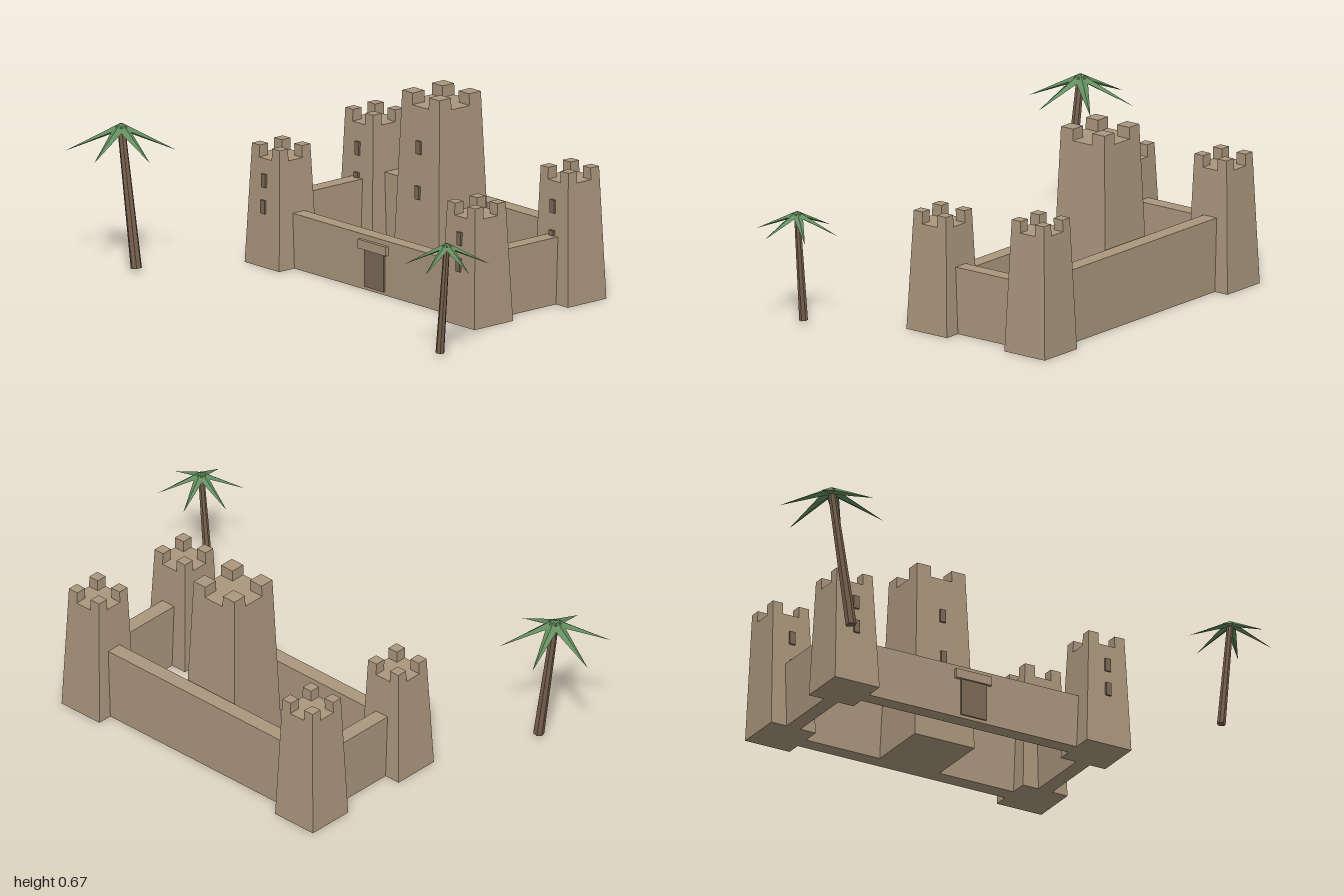
import * as THREE from 'three';

const flat = (color, name) => {
  const m = new THREE.MeshStandardMaterial({ color, flatShading: true });
  m.name = name;
  return m;
};

export function createModel() {
  const sand = flat(0xab977d, 'sandstone');
  const wood = flat(0x7c6a56, 'dark wood');
  const bark = flat(0x78614f, 'palm bark');
  const leaf = flat(0x648e60, 'palm green');
  const model = new THREE.Group();
  model.name = 'desertFort';

  const add = (parent, name, geo, mat) => {
    const mesh = new THREE.Mesh(geo, mat);
    mesh.name = name;
    parent.add(mesh);
    return mesh;
  };
  // Box given by its min and max corners
  const block = (x0, x1, y0, y1, z0, z1) =>
    new THREE.BoxGeometry(x1 - x0, y1 - y0, z1 - z0)
      .translate((x0 + x1) / 2, (y0 + y1) / 2, (z0 + z1) / 2);

  // Square tower with leaning walls, four corner merlons and front windows
  function tower(name, x, z, base, top, height, merlonTop, merlonSize, windows) {
    const g = new THREE.Group();
    g.name = name;
    g.position.set(x, 0, z);
    const half = (y) => base + (top - base) * y / merlonTop;
    // Pull a unit-wide block in toward the axis as it rises
    const lean = (geo) => {
      const p = geo.attributes.position;
      for (let i = 0; i < p.count; i++) {
        const h = half(p.getY(i));
        p.setXYZ(i, p.getX(i) * h, p.getY(i), p.getZ(i) * h);
      }
      geo.computeVertexNormals();
      return geo;
    };
    add(g, 'towerBody', lean(block(-1, 1, 0, height, -1, 1)), sand);
    const inner = 1 - merlonSize / top;
    for (const sx of [-1, 1]) for (const sz of [-1, 1]) {
      const c = (1 + inner) / 2, s = (1 - inner) / 2;
      add(g, 'merlon', lean(block(sx * c - s, sx * c + s, height, merlonTop, sz * c - s, sz * c + s)), sand);
    }
    for (const y of windows) {
      const w = half(y);
      add(g, 'window', block(-0.011, 0.011, y - 0.024, y + 0.024, w - 0.001, w + 0.008), wood);
    }
    model.add(g);
  }

  for (const [side, x] of [['right', -0.478], ['left', 0.541]]) {
    tower(side + 'FrontTower', x, -0.059, 0.09, 0.072, 0.388, 0.431, 0.04, [0.31, 0.216]);
    tower(side + 'BackTower', x, -0.496, 0.09, 0.072, 0.437, 0.479, 0.04, [0.347, 0.237]);
    add(model, side + 'Wall', block(x - 0.028, x + 0.028, 0, 0.242, -0.45, -0.1), sand);
  }
  tower('keep', 0.031, -0.353, 0.121, 0.097, 0.63, 0.672, 0.055, [0.485, 0.323]);

  // Front and back walls
  add(model, 'frontWall', block(-0.45, 0.51, 0, 0.198, -0.095, -0.04), sand);
  add(model, 'backWall', block(-0.45, 0.51, 0, 0.267, -0.53, -0.472), sand);

  // Gate
  add(model, 'gateDoor', block(-0.019, 0.084, 0.012, 0.147, -0.042, -0.034), wood);
  add(model, 'gateLintel', block(-0.043, 0.102, 0.147, 0.18, -0.05, -0.027), sand);

  // Leaning palm with six drooping pointed fronds
  function palm(name, baseX, topX, topY, z, s) {
    const g = new THREE.Group();
    g.name = name;
    const from = new THREE.Vector3(baseX, 0.014, z);
    const to = new THREE.Vector3(topX, topY, z);
    const dir = to.clone().sub(from);
    const trunk = add(g, 'trunk', new THREE.CylinderGeometry(0.014 * s, 0.02 * s, dir.length(), 7), bark);
    trunk.position.copy(from).add(to).multiplyScalar(0.5);
    trunk.quaternion.setFromUnitVectors(new THREE.Vector3(0, 1, 0), dir.normalize());
    const length = 0.212 * s;
    for (let i = 0; i < 6; i++) {
      const geo = new THREE.ConeGeometry(0.025 * s, length, 4)
        .translate(0, length / 2, 0)
        .scale(0.5, 1, 1)
        .rotateZ(-Math.PI / 2 - 0.42)
        .rotateY(-(11 + i * 60) * Math.PI / 180);
      add(g, 'frond', geo, leaf).position.copy(to);
    }
    model.add(g);
  }
  palm('rightPalm', -0.722, -0.801, 0.51, 0.4, 1);
  palm('leftPalm', 0.806, 0.842, 0.408, 0.35, 0.78);

  return model;
}
